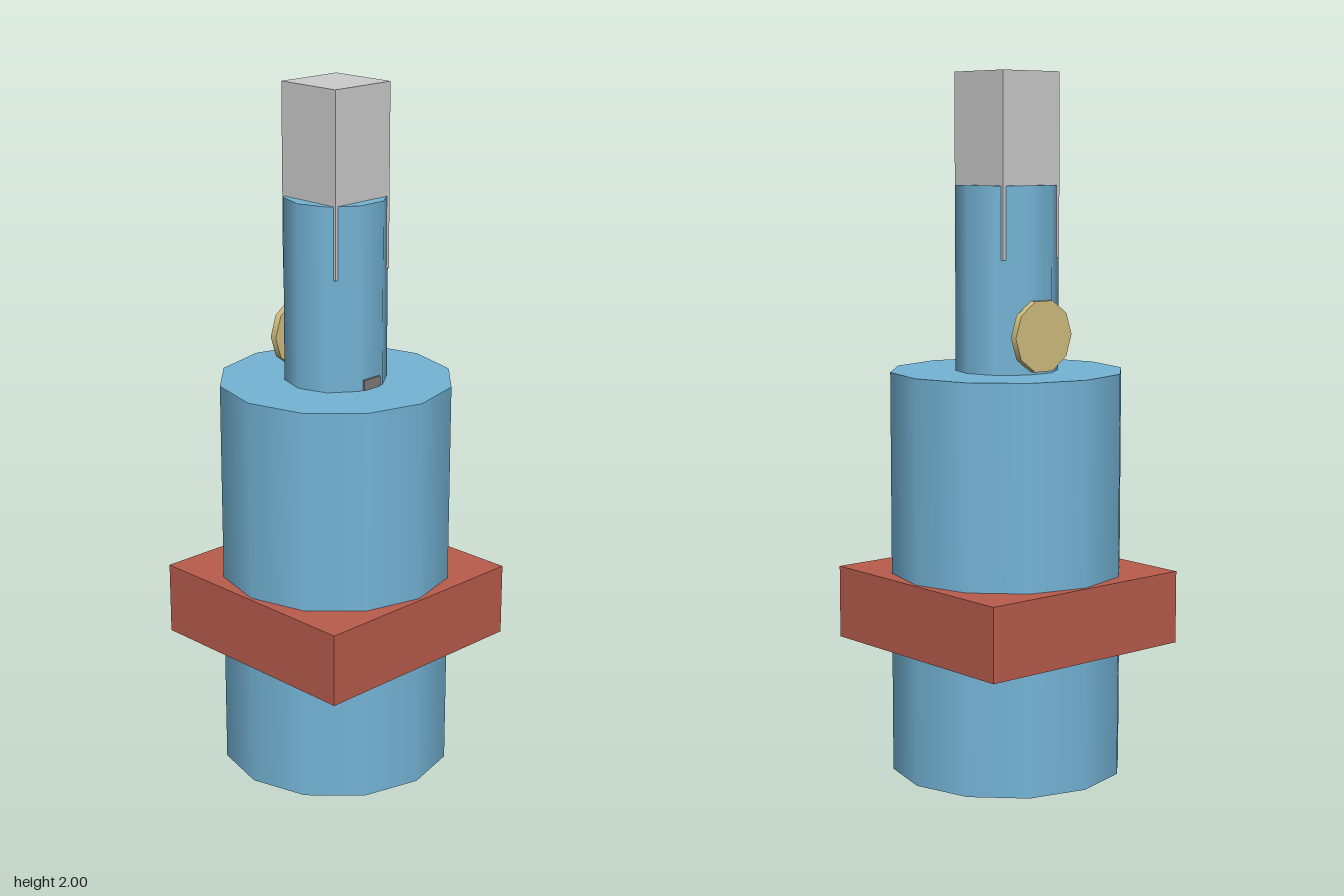
import * as THREE from 'three';

const material = (color) => new THREE.MeshStandardMaterial({ color });

export function createModel() {
  const group = new THREE.Group();
  const blue = material(0x74b4d6);

  const add = (name, geometry, mat, x, y, z = 0) => {
    const mesh = new THREE.Mesh(geometry, mat);
    mesh.name = name;
    mesh.position.set(x, y, z);
    group.add(mesh);
    return mesh;
  };

  // Twelve-sided body and ten-sided neck
  add('body', new THREE.CylinderGeometry(0.336, 0.336, 1.16, 12), blue, 0, 0.58);
  add('neck', new THREE.CylinderGeometry(0.147, 0.147, 0.54, 10), blue, 0, 1.415);

  // Square collar around the body
  add('collar', new THREE.BoxGeometry(0.692, 0.21, 0.692), material(0xb85c4c), 0, 0.475);

  // Square plug sunk into the neck, its corners breaking through
  add('plug', new THREE.BoxGeometry(0.209, 0.52, 0.209), material(0xcccccc), 0, 1.74);

  // Round button standing on edge at the side of the neck
  const button = add('button', new THREE.CylinderGeometry(0.104, 0.104, 0.021, 10),
    material(0xd2bf80), -0.148, 1.267);
  button.rotation.z = Math.PI / 2;

  // Small tab at the foot of the neck
  add('tab', new THREE.BoxGeometry(0.012, 0.06, 0.062), material(0x807c7a), 0.14, 1.16);

  return group;
}
